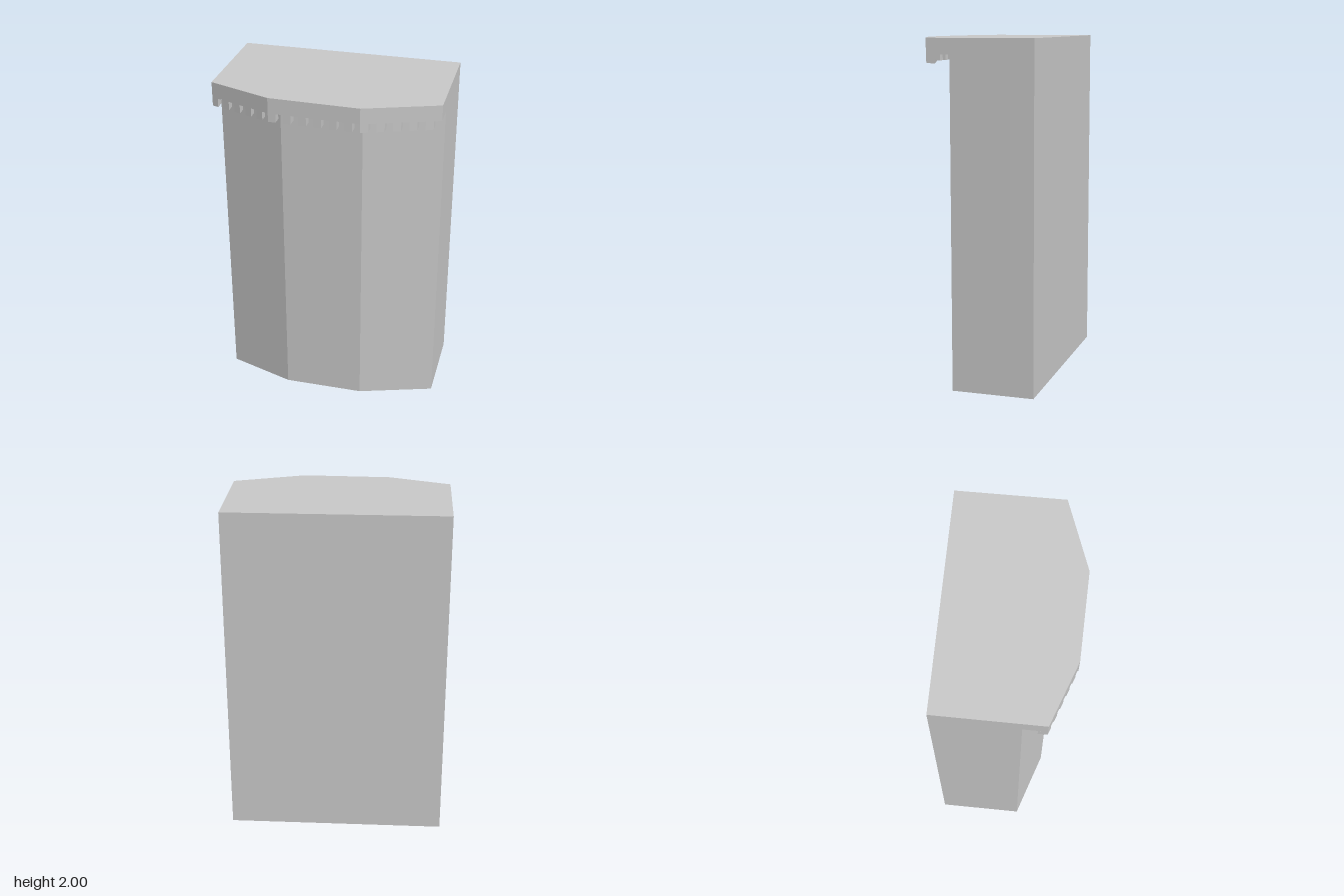
import * as THREE from 'three';

const material = new THREE.MeshStandardMaterial({ color: 0xcccccc, flatShading: true, side: THREE.DoubleSide });

// Plan points are [x, z]; left to right along the faceted front.
const backLeft = [-0.715, -0.04], backRight = [0.47, -0.535];
const bodyFront = [[-0.53, 0.41], [-0.12, 0.38], [0.31, 0.2], [0.655, -0.09]];
const corniceFront = [[-0.48, 0.533], [-0.095, 0.515], [0.385, 0.33], [0.71, 0.035]];
const TOOTH_BOTTOM = 1.86, SOFFIT = 1.91, TOP = 2;

const planShape = (points) => new THREE.Shape(points.map(([x, z]) => new THREE.Vector2(x, -z)));

function addMesh(parent, name, geometry) {
  const mesh = new THREE.Mesh(geometry, material);
  mesh.name = name;
  parent.add(mesh);
  return mesh;
}

// Closed loop of upright walls, open above and below
function walls(points, y0, y1) {
  const positions = [];
  points.forEach(([ax, az], i) => {
    const [bx, bz] = points[(i + 1) % points.length];
    positions.push(ax, y0, az, bx, y0, bz, bx, y1, bz);
    positions.push(ax, y0, az, bx, y1, bz, ax, y1, az);
  });
  const geometry = new THREE.BufferGeometry();
  geometry.setAttribute('position', new THREE.Float32BufferAttribute(positions, 3));
  geometry.computeVertexNormals();
  return geometry;
}

// Flat horizontal panel
function panel(points, y) {
  return new THREE.ShapeGeometry(planShape(points)).rotateX(-Math.PI / 2).translate(0, y, 0);
}

export function createModel() {
  const model = new THREE.Group();
  model.name = 'bayFrontedBlock';

  // Hollow body, with an overhanging cornice around the front
  const corniceOutline = [backLeft, ...corniceFront, backRight];
  addMesh(model, 'bodyWalls', walls([backLeft, ...bodyFront, backRight], 0, SOFFIT));
  addMesh(model, 'corniceWalls', walls(corniceOutline, SOFFIT, TOP));
  addMesh(model, 'roof', panel(corniceOutline, TOP));
  const soffit = panel([...corniceFront, ...[...bodyFront].reverse()], SOFFIT);
  soffit.index.array.reverse(); // faces down
  soffit.deleteAttribute('normal');
  soffit.computeVertexNormals();
  addMesh(model, 'soffit', soffit);

  // Dentils: equal tooth and gap along each facet, running back parallel to the sides
  const dentils = new THREE.Group();
  dentils.name = 'dentils';
  model.add(dentils);
  const backX = -0.02, backZ = -0.048;
  [5, 6, 5].forEach((count, facet) => {
    const [ax, az] = corniceFront[facet], [bx, bz] = corniceFront[facet + 1];
    const at = (t) => [ax + (bx - ax) * t, az + (bz - az) * t];
    for (let i = 0; i < count; i++) {
      const [p, q] = [at(i / count), at((i + 0.5) / count)];
      const plan = [p, q, [q[0] + backX, q[1] + backZ], [p[0] + backX, p[1] + backZ]];
      const geometry = new THREE.ExtrudeGeometry(planShape(plan), { depth: SOFFIT - TOOTH_BOTTOM, bevelEnabled: false });
      geometry.rotateX(-Math.PI / 2).translate(0, TOOTH_BOTTOM, 0);
      addMesh(dentils, 'dentil', geometry);
    }
  });

  return model;
}
